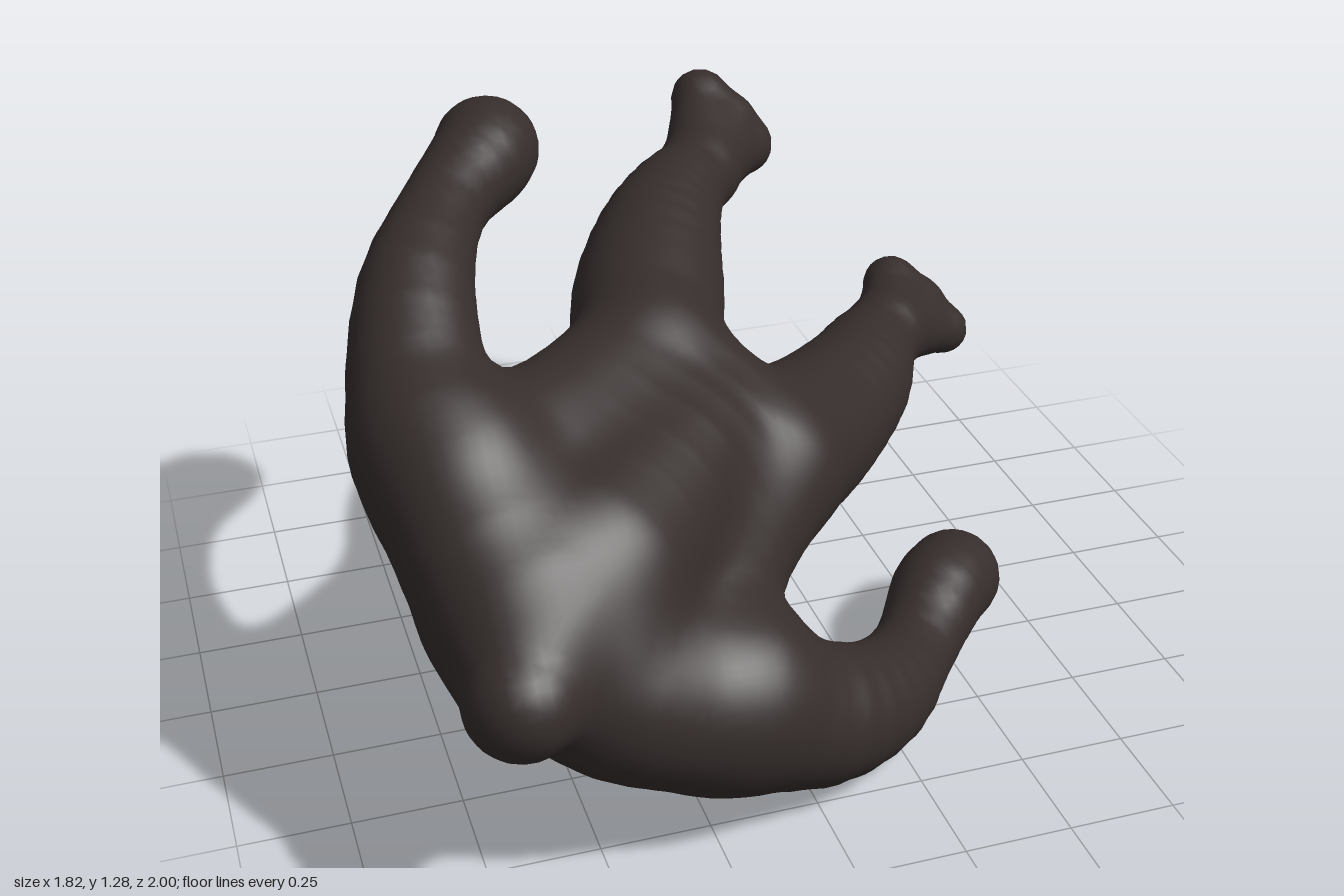
import * as THREE from 'three';

// Each part is a list of limb chains; every point is [x, y, z, radius].
const PARTS = {
  torso: [
    // spine and belly
    [[-0.5, 0.54, 0.52, 0.26], [-0.28, 0.56, 0.27, 0.215], [-0.09, 0.62, 0.07, 0.18]],
    [[-0.47, 0.62, 0.58, 0.23], [-0.23, 0.65, 0.32, 0.2], [-0.05, 0.67, 0.11, 0.16]],
    // right and left flanks
    [[-0.68, 0.8, 0.42, 0.18], [-0.43, 0.775, 0.25, 0.165], [-0.17, 0.775, 0.01, 0.17]],
    [[-0.2, 0.33, 0.68, 0.19], [-0.16, 0.44, 0.46, 0.165], [0.04, 0.55, 0.2, 0.19]],
    // shoulder girdle
    [[-0.73, 0.84, 0.38, 0.165], [-0.65, 0.63, 0.66, 0.19], [-0.49, 0.45, 0.73, 0.195],
      [-0.34, 0.36, 0.73, 0.195], [-0.2, 0.31, 0.71, 0.19]],
  ],
  head: [[[-0.63, 0.57, 0.7, 0.2], [-0.68, 0.53, 0.87, 0.125]]],
  rightArm: [[
    [-0.7, 0.8, 0.42, 0.175], [-0.745, 0.89, 0.3, 0.16], [-0.7, 1.045, 0.05, 0.13],
    [-0.585, 1.125, -0.2, 0.1], [-0.46, 1.16, -0.37, 0.12], [-0.43, 1.165, -0.43, 0.125],
  ]],
  leftArm: [[
    [-0.2, 0.31, 0.71, 0.19], [0.01, 0.2, 0.68, 0.165], [0.2, 0.135, 0.58, 0.13],
    [0.36, 0.115, 0.42, 0.1], [0.49, 0.145, 0.26, 0.117], [0.565, 0.133, 0.18, 0.118],
  ]],
  rightLeg: [
    [[-0.17, 0.775, 0.01, 0.17], [-0.1, 0.81, -0.21, 0.185], [-0.02, 0.87, -0.4, 0.16],
      [0.07, 0.915, -0.55, 0.125], [0.18, 0.925, -0.69, 0.098]],
    [[0.18, 0.925, -0.69, 0.095], [0.26, 1.03, -0.93, 0.07]],
    [[0.18, 0.925, -0.69, 0.095], [0.31, 0.965, -0.88, 0.09]],
    [[0.18, 0.925, -0.69, 0.095], [0.36, 0.91, -0.865, 0.072]],
    [[0.26, 1.03, -0.93, 0.07], [0.36, 0.91, -0.865, 0.072]],
  ],
  leftLeg: [
    [[0.05, 0.55, 0.18, 0.19], [0.13, 0.52, 0.08, 0.2], [0.28, 0.485, -0.07, 0.18],
      [0.44, 0.483, -0.23, 0.153], [0.54, 0.497, -0.36, 0.123], [0.62, 0.51, -0.44, 0.097]],
    [[0.62, 0.51, -0.44, 0.092], [0.71, 0.55, -0.63, 0.067]],
    [[0.62, 0.51, -0.44, 0.092], [0.76, 0.495, -0.58, 0.085]],
    [[0.62, 0.51, -0.44, 0.092], [0.84, 0.425, -0.56, 0.06]],
    [[0.71, 0.55, -0.63, 0.067], [0.84, 0.425, -0.56, 0.06]],
  ],
};
const NAMES = Object.keys(PARTS);
const SOFTNESS = { torso: 0.1 };

// Resample a chain along a smooth curve, in position and in radius
function smoothChain(chain) {
  const curve = (f) => new THREE.CatmullRomCurve3(chain.map(f), false, 'catmullrom');
  const path = curve((p) => new THREE.Vector3(p[0], p[1], p[2]));
  const radius = curve((p) => new THREE.Vector3(p[3], 0, 0));
  const count = chain.length > 2 ? (chain.length - 1) * 3 : 1;
  return Array.from({ length: count + 1 }, (_, i) => [...path.getPoint(i / count).toArray(), radius.getPoint(i / count).x]);
}
const CHAINS = Object.fromEntries(NAMES.map((name) => [name, PARTS[name].map(smoothChain)]));

// Blended minimum, so that parts melt into one another
function blend(a, b, k) {
  const h = Math.max(k - Math.abs(a - b), 0) / k;
  return Math.min(a, b) - h * h * k * 0.25;
}

// Distance to a rounded, tapering segment
function segment(x, y, z, a, b) {
  const dx = b[0] - a[0], dy = b[1] - a[1], dz = b[2] - a[2];
  const px = x - a[0], py = y - a[1], pz = z - a[2];
  const t = Math.min(1, Math.max(0, (px * dx + py * dy + pz * dz) / (dx * dx + dy * dy + dz * dz)));
  const qx = px - t * dx, qy = py - t * dy, qz = pz - t * dz;
  return Math.sqrt(qx * qx + qy * qy + qz * qz) - a[3] - t * (b[3] - a[3]);
}

function partDistance(name, x, y, z) {
  let d = 9;
  for (const chain of CHAINS[name]) {
    let c = 9;
    for (let i = 0; i + 1 < chain.length; i++) c = Math.min(c, segment(x, y, z, chain[i], chain[i + 1]));
    d = blend(d, c, SOFTNESS[name] ?? 0.03);
  }
  return d;
}

const field = (x, y, z) => NAMES.reduce((d, n) => blend(d, partDistance(n, x, y, z), 0.06), 9);

function gradient(x, y, z, e = 0.02) {
  return new THREE.Vector3(
    field(x + e, y, z) - field(x - e, y, z),
    field(x, y + e, z) - field(x, y - e, z),
    field(x, y, z + e) - field(x, y, z - e),
  ).divideScalar(2 * e);
}

// Wrap one continuous skin around the field, and sort its faces by body part
function buildSkin() {
  const step = 0.028, min = [-1.02, -0.1, -1.12], n = [74, 54, 79];
  const stride = [1, n[0], n[0] * n[1]];
  const values = new Float32Array(n[0] * n[1] * n[2]);
  const at = (i, j, k) => i + j * stride[1] + k * stride[2];
  for (let k = 0; k < n[2]; k++) for (let j = 0; j < n[1]; j++) for (let i = 0; i < n[0]; i++) {
    values[at(i, j, k)] = field(min[0] + i * step, min[1] + j * step, min[2] + k * step);
  }

  // One vertex in each cell that the surface crosses
  const cell = new Int32Array(values.length).fill(-1);
  const positions = [], normals = [], owner = [];
  for (let k = 0; k < n[2] - 1; k++) for (let j = 0; j < n[1] - 1; j++) for (let i = 0; i < n[0] - 1; i++) {
    const sum = [0, 0, 0];
    let hits = 0;
    for (let c = 0; c < 8; c++) for (let axis = 0; axis < 3; axis++) {
      if (c >> axis & 1) continue;
      const o = [c & 1, c >> 1 & 1, c >> 2 & 1];
      const id = at(i + o[0], j + o[1], k + o[2]);
      const a = values[id], b = values[id + stride[axis]];
      if ((a < 0) === (b < 0)) continue;
      o[axis] += a / (a - b);
      o.forEach((v, q) => { sum[q] += v; });
      hits++;
    }
    if (!hits) continue;
    const p = new THREE.Vector3(i + sum[0] / hits, j + sum[1] / hits, k + sum[2] / hits)
      .multiplyScalar(step).add(new THREE.Vector3(...min));
    const g = gradient(p.x, p.y, p.z);
    p.addScaledVector(g, -field(p.x, p.y, p.z) / Math.max(g.lengthSq(), 0.3));
    g.normalize();
    cell[at(i, j, k)] = owner.length;
    positions.push(p.x, p.y, p.z);
    normals.push(g.x, g.y, g.z);
    const dist = NAMES.map((name) => partDistance(name, p.x, p.y, p.z));
    owner.push(dist.indexOf(Math.min(...dist)));
  }

  // A quad around each grid edge that the surface crosses
  const faces = NAMES.map(() => []);
  for (let k = 1; k < n[2] - 1; k++) for (let j = 1; j < n[1] - 1; j++) for (let i = 1; i < n[0] - 1; i++) {
    const id = at(i, j, k);
    for (let axis = 0; axis < 3; axis++) {
      const inside = values[id] < 0;
      if (inside === (values[id + stride[axis]] < 0)) continue;
      const u = stride[(axis + 1) % 3], v = stride[(axis + 2) % 3];
      const q = [cell[id - u - v], cell[id - v], cell[id], cell[id - u]];
      if (!inside) q.reverse();
      faces[owner[q[0]]].push(q[0], q[1], q[2], q[0], q[2], q[3]);
    }
  }
  return { positions, normals, faces };
}

// Geometry for one part, keeping only the vertices it uses
function partGeometry(skin, faces) {
  const map = new Map(), pos = [], nor = [];
  const index = faces.map((f) => {
    if (!map.has(f)) {
      map.set(f, map.size);
      pos.push(...skin.positions.slice(f * 3, f * 3 + 3));
      nor.push(...skin.normals.slice(f * 3, f * 3 + 3));
    }
    return map.get(f);
  });
  const geometry = new THREE.BufferGeometry();
  geometry.setAttribute('position', new THREE.Float32BufferAttribute(pos, 3));
  geometry.setAttribute('normal', new THREE.Float32BufferAttribute(nor, 3));
  geometry.setIndex(index);
  return geometry;
}

export function createModel() {
  const group = new THREE.Group();
  group.name = 'figure';
  const darkBrown = new THREE.MeshStandardMaterial({ color: 0x352d2c });
  darkBrown.name = 'darkBrown';
  const skin = buildSkin();
  NAMES.forEach((name, i) => {
    const mesh = new THREE.Mesh(partGeometry(skin, skin.faces[i]), darkBrown);
    mesh.name = name;
    group.add(mesh);
  });
  return group;
}
